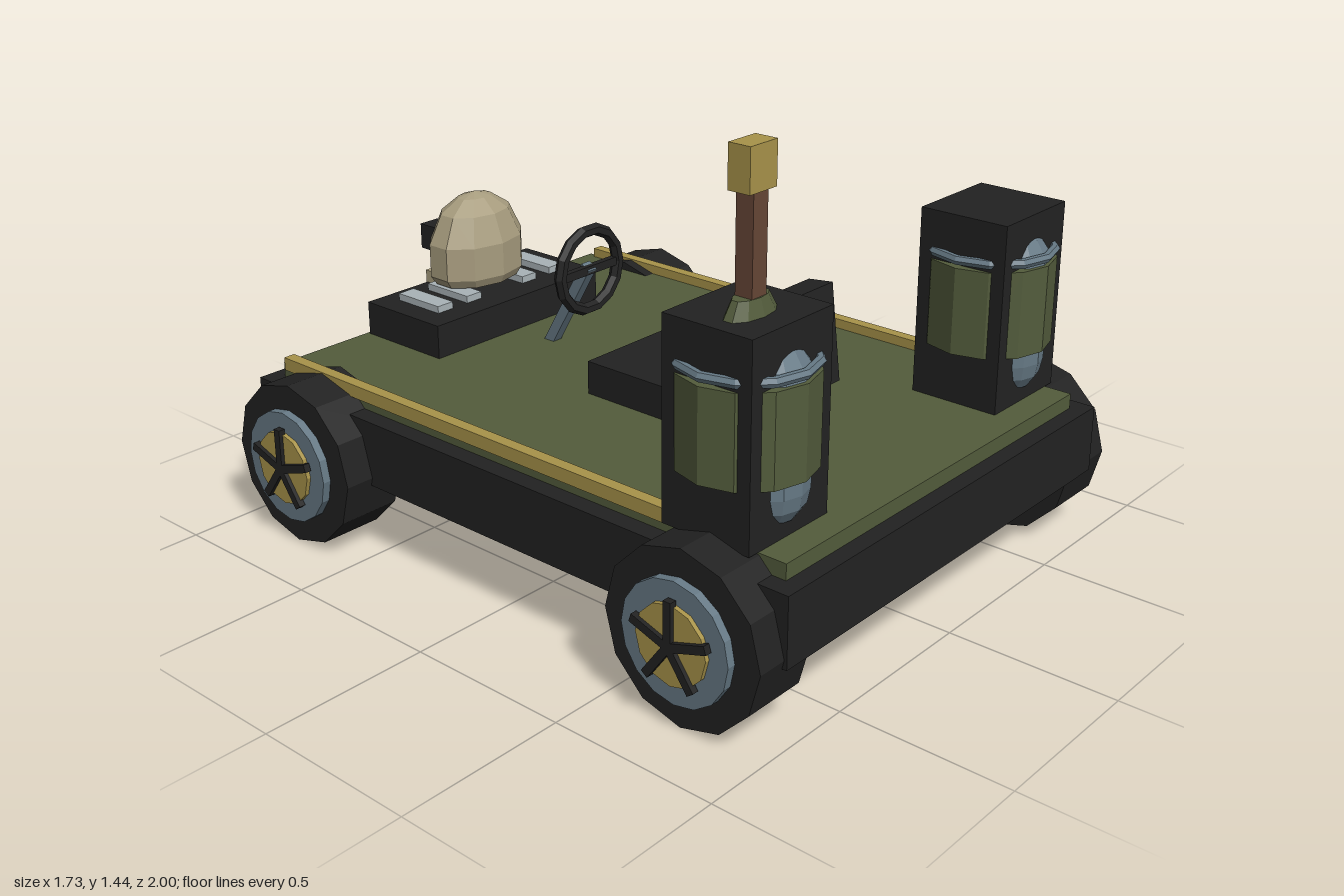
import * as THREE from 'three';

export function createModel() {
  const model = new THREE.Group();
  model.name = 'buggy';

  const mat = (name, color) => {
    const m = new THREE.MeshStandardMaterial({ color, flatShading: true });
    m.name = name;
    return m;
  };
  const black = mat('black', 0x222222);
  const olive = mat('olive', 0x535c3c);
  const gold = mat('gold', 0xa8934a);
  const steel = mat('steel blue', 0x667985);
  const brown = mat('brown', 0x664636);
  const bone = mat('bone', 0xa89d7f);
  const silver = mat('silver', 0xa9b3b7);

  const add = (parent, name, geo, material, x = 0, y = 0, z = 0) => {
    const mesh = new THREE.Mesh(geo, material);
    mesh.name = name;
    mesh.position.set(x, y, z);
    parent.add(mesh);
    return mesh;
  };
  // Box given by its minimum and maximum on each axis
  const box = (parent, name, material, x0, x1, y0, y1, z0, z1) =>
    add(parent, name, new THREE.BoxGeometry(x1 - x0, y1 - y0, z1 - z0), material,
      (x0 + x1) / 2, (y0 + y1) / 2, (z0 + z1) / 2);
  const group = (name, x = 0, y = 0, z = 0) => {
    const g = new THREE.Group();
    g.name = name;
    g.position.set(x, y, z);
    model.add(g);
    return g;
  };

  // Chassis, deck and side rails
  box(model, 'chassis', black, -0.725, 0.725, 0.225, 0.425, -1, 1);
  box(model, 'deck', olive, -0.67, 0.67, 0.42, 0.47, -0.95, 0.95);
  for (const s of [-1, 1]) {
    box(model, 'sideRail', gold, s * 0.672 - 0.018, s * 0.672 + 0.018, 0.46, 0.5, -0.92, 0.62);
  }

  // Wheels: tyre, rim, hub and five spokes, built along +x and turned for the other side
  for (const s of [-1, 1]) {
    for (const z of [-0.745, 0.745]) {
      const wheel = group('wheel', 0, 0.25, z);
      if (s < 0) wheel.rotation.y = Math.PI;
      const disc = (name, r, x0, x1, n, m) => {
        const geo = new THREE.CylinderGeometry(r, r, x1 - x0, n).rotateZ(-Math.PI / 2);
        add(wheel, name, geo, m, (x0 + x1) / 2);
      };
      disc('tyre', 0.247, 0.62, 0.815, 12, black);
      disc('rim', 0.17, 0.8, 0.84, 16, steel);
      disc('hub', 0.112, 0.83, 0.853, 12, gold);
      for (let i = 0; i < 5; i++) {
        const geo = new THREE.BoxGeometry(0.02, 0.125, 0.024).translate(0.855, 0.0625, 0);
        add(wheel, 'spoke', geo, black).rotation.x = i * Math.PI * 2 / 5;
      }
    }
  }

  // Corner towers with a drum, a ring and a front capsule
  for (const s of [-1, 1]) {
    const tower = group('tower', s * 0.55, 0, 0.7275);
    box(tower, 'towerBox', black, -0.155, 0.155, 0.47, 1.025, -0.1375, 0.1375);
    add(tower, 'drum', new THREE.CylinderGeometry(0.185, 0.185, 0.255, 12), olive, 0, 0.755, 0);
    const ring = new THREE.TorusGeometry(0.177, 0.014, 6, 12).rotateX(Math.PI / 2);
    add(tower, 'ring', ring, steel, 0, 0.905, 0);
    add(tower, 'capsule', new THREE.CapsuleGeometry(0.108, 0.285, 4, 12), steel, 0, 0.73, 0.067);
  }

  // Lever on the right tower
  const lever = group('lever', -0.57, 0, 0.75);
  add(lever, 'leverBase', new THREE.CylinderGeometry(0.062, 0.092, 0.05, 10), olive, 0, 1.045, 0)
    .scale.z = 0.5;
  box(lever, 'leverStem', brown, -0.027, 0.027, 1.05, 1.34, -0.026, 0.026);
  box(lever, 'leverGrip', gold, -0.05, 0.05, 1.33, 1.445, -0.033, 0.033);

  // Seat with a tilted backrest and pad
  box(model, 'seatBase', black, -0.24, 0.24, 0.47, 0.57, -0.1, 0.41);
  const back = group('seatBack', 0, 0.51, 0.402);
  back.rotation.x = -0.12;
  box(back, 'backrest', black, -0.235, 0.235, -0.005, 0.29, -0.042, 0.042);
  box(back, 'backPad', olive, -0.18, 0.18, 0.04, 0.265, -0.068, -0.04);

  // Steering wheel and column
  add(model, 'steeringWheel', new THREE.TorusGeometry(0.124, 0.019, 6, 14), black, 0, 0.735, -0.318);
  box(model, 'steeringBar', black, -0.12, 0.12, 0.722, 0.748, -0.328, -0.308);
  const top = new THREE.Vector3(0, 0.745, -0.318);
  const foot = new THREE.Vector3(0, 0.46, -0.485);
  const column = add(model, 'steeringColumn',
    new THREE.BoxGeometry(0.034, 0.034, top.distanceTo(foot)), steel);
  column.position.copy(top).add(foot).multiplyScalar(0.5);
  column.lookAt(top);

  // Dashboard block with silver keys
  box(model, 'dashboard', black, -0.345, 0.345, 0.47, 0.575, -0.94, -0.62);
  for (const x of [-0.24, -0.12, 0.12, 0.24]) {
    box(model, 'key', silver, x - 0.03, x + 0.03, 0.57, 0.597, -0.88, -0.7);
  }

  // Skull ornament facing the rear of the frame
  const skull = group('skull', 0, 0, -0.812);
  const profile = [[0, 0.6], [0.15, 0.602], [0.17, 0.63], [0.17, 0.735], [0.125, 0.825], [0.06, 0.868], [0, 0.882]]
    .map(([r, y]) => new THREE.Vector2(r, y));
  add(skull, 'cranium', new THREE.LatheGeometry(profile, 10), bone).scale.z = 0.72;
  box(skull, 'jaw', bone, -0.1, 0.1, 0.53, 0.615, -0.132, -0.06);
  for (const s of [-1, 1]) {
    box(skull, 'eye', black, s * 0.07 - 0.036, s * 0.07 + 0.036, 0.69, 0.77, -0.14, -0.06);
  }
  for (let i = 0; i < 4; i++) {
    const x = -0.063 + i * 0.042;
    box(skull, 'toothGap', black, x - 0.01, x + 0.01, 0.515, 0.585, -0.148, -0.12);
  }

  return model;
}
